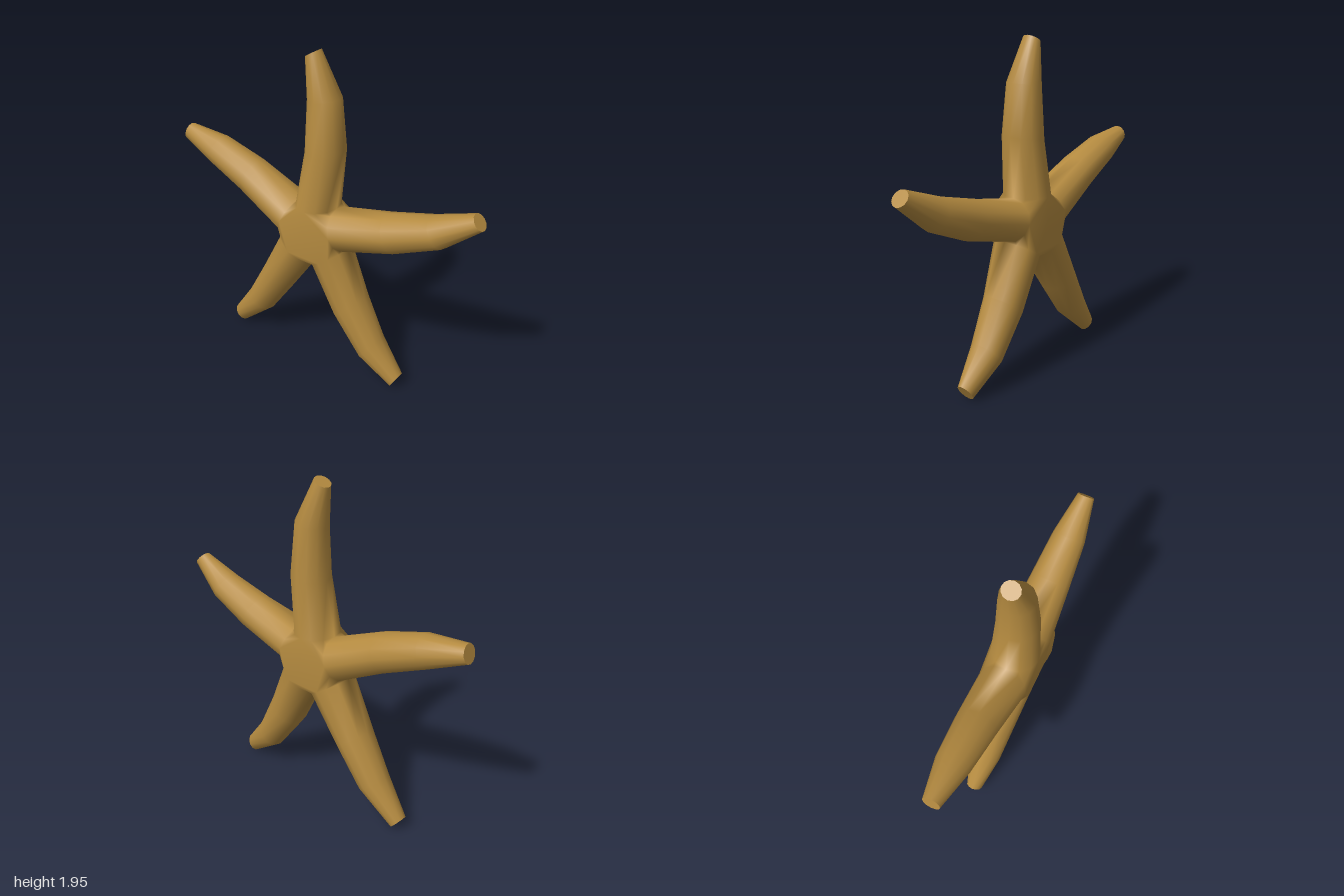
import * as THREE from 'three';
import { mergeVertices } from 'three/addons/utils/BufferGeometryUtils.js';

const SIDES = 12, HALF = SIDES / 2, QUARTER = SIDES / 4;

// Points between neighbouring arms, as [z, y]; arm i runs from notch i to notch i + 1
const notches = [[0.12, 1.07], [-0.13, 1.07], [-0.235, 0.84], [-0.015, 0.7], [0.2, 0.835]];

// Edge pairs [z1, y1, z2, y2] of each arm from near the body to the tip
const arms = [
  { name: 'topArm', edges: [[0.153, 1.42, -0.075, 1.39], [0.125, 1.71, -0.063, 1.69], [0, 1.957, -0.083, 1.91]] },
  { name: 'backArm', edges: [[-0.45, 1.21, -0.53, 1.0], [-0.72, 1.295, -0.79, 1.12], [-0.975, 1.325, -1, 1.22]] },
  { name: 'backLeg', edges: [[-0.39, 0.55, -0.21, 0.42], [-0.53, 0.3, -0.375, 0.19], [-0.675, 0.09, -0.6, 0.003]] },
  { name: 'frontLeg', edges: [[0.13, 0.395, 0.32, 0.54], [0.315, 0.148, 0.44, 0.295], [0.527, 0.003, 0.587, 0.1]] },
  { name: 'frontArm', edges: [[0.53, 0.93, 0.44, 1.14], [0.8, 1.05, 0.7, 1.21], [1, 1.22, 0.94, 1.297]] },
];
const thickness = [0.145, 0.122, 0.1, 0.051]; // half depth in x, body to tip
const shift = [0, 0.005, 0.006, 0.004];

// Oval cross-section whose ends lie on the two edge points
function ring([z1, y1, z2, y2], depth, x) {
  return Array.from({ length: SIDES }, (_, k) => {
    const t = (k / SIDES) * Math.PI * 2, c = Math.cos(t) / 2;
    return [x + depth * Math.sin(t), (y1 + y2) / 2 + (y1 - y2) * c, (z1 + z2) / 2 + (z1 - z2) * c];
  });
}

function toGeometry(triangles) {
  const g = new THREE.BufferGeometry();
  g.setAttribute('position', new THREE.Float32BufferAttribute(triangles.flat(2), 3));
  const welded = mergeVertices(g);
  welded.computeVertexNormals();
  return welded;
}

export function createModel() {
  const group = new THREE.Group();
  const sand = new THREE.MeshStandardMaterial({ color: 0xb58b40 });
  sand.name = 'sandyOchre';
  const add = (name, triangles) => {
    const mesh = new THREE.Mesh(toGeometry(triangles), sand);
    mesh.name = name;
    group.add(mesh);
  };

  const skin = [];
  const quad = (a, b, c, d) => skin.push([a, b, c], [a, c, d]);
  const rings = arms.map(({ edges }, i) =>
    [[...notches[i], ...notches[(i + 1) % 5]], ...edges].map((e, s) => ring(e, thickness[s], shift[s])));

  rings.forEach((sections, i) => {
    // Tapering arm
    for (let s = 0; s < sections.length - 1; s++) {
      for (let k = 0; k < SIDES; k++) {
        const n = (k + 1) % SIDES;
        quad(sections[s][k], sections[s][n], sections[s + 1][n], sections[s + 1][k]);
      }
    }

    // Body web joining this arm to the next one, on both faces
    const A = sections[0], B = rings[(i + 1) % 5][0];
    for (const side of [1, -1]) {
      const a = (j) => A[HALF - side * j], b = (j) => B[(side * j + SIDES) % SIDES];
      const tri = (p, q, r) => skin.push(side > 0 ? [p, q, r] : [p, r, q]);
      for (let j = 0; j < QUARTER; j++) {
        tri(a(j), a(j + 1), b(j + 1));
        if (j > 0) tri(a(j), b(j + 1), b(j));
      }
      tri([side * 0.145, 0.92, -0.01], b(QUARTER), a(QUARTER));
    }
  });
  add('starfishBody', skin);

  // Flat arm tips
  rings.forEach((sections, i) => {
    const tip = sections[sections.length - 1];
    const cap = [];
    for (let k = 1; k < SIDES - 1; k++) cap.push([tip[0], tip[k], tip[k + 1]]);
    add(arms[i].name + 'Tip', cap);
  });

  return group;
}
